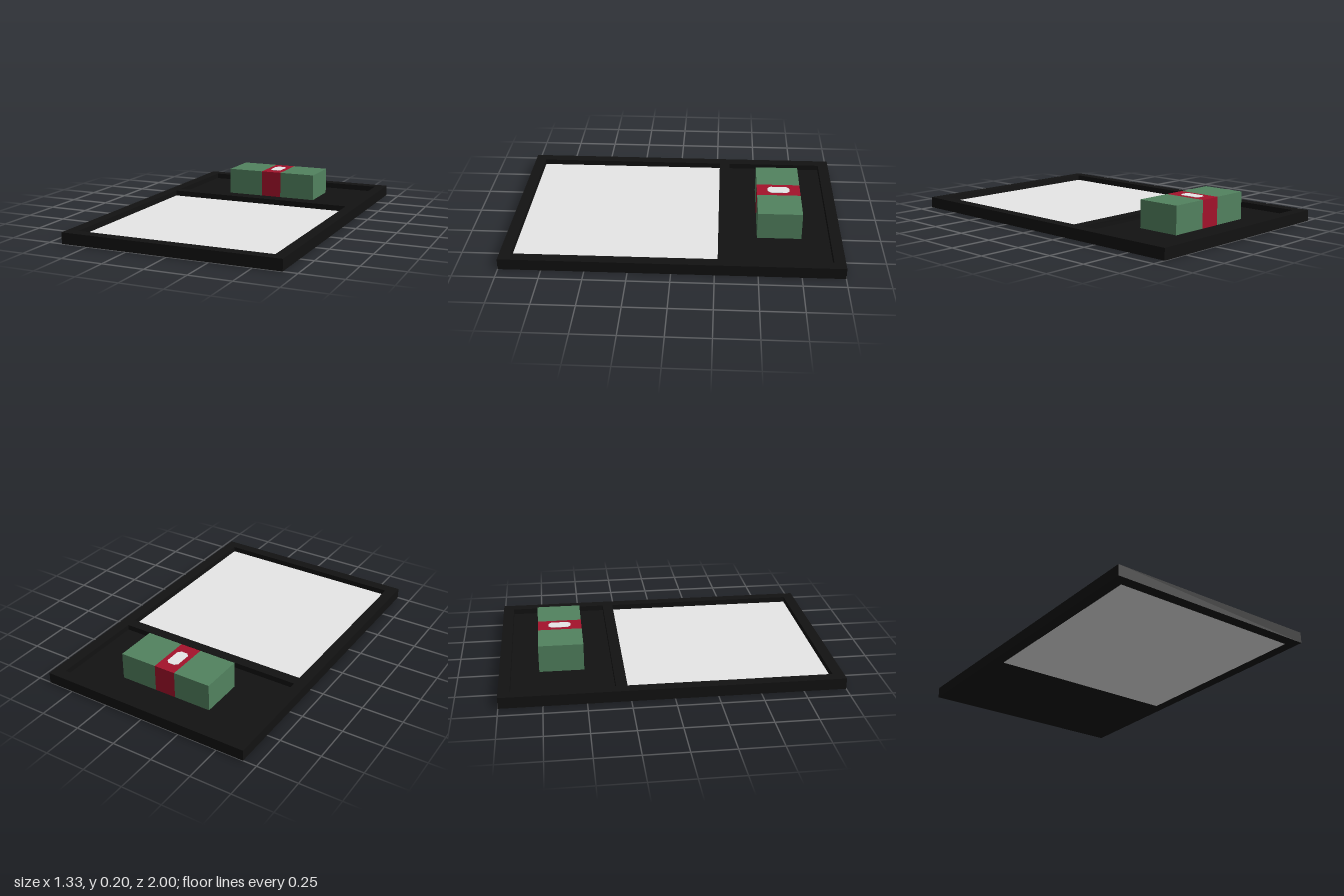
import * as THREE from 'three';

const flat = (name, color) => {
  const m = new THREE.MeshStandardMaterial({ color });
  m.name = name;
  return m;
};

export function createModel() {
  const black = flat('black', 0x121212);
  const white = flat('white', 0xf2f2f2);
  const green = flat('green', 0x52825f);
  const red = flat('red', 0xa4122b);
  const model = new THREE.Group();
  model.name = 'trayWithBundle';

  const add = (name, geometry, material) => {
    const mesh = new THREE.Mesh(geometry, material);
    mesh.name = name;
    model.add(mesh);
    return mesh;
  };
  // Box given by its limits on each axis
  const box = (name, material, [x0, x1], [y0, y1], [z0, z1]) =>
    add(name, new THREE.BoxGeometry(x1 - x0, y1 - y0, z1 - z0), material)
      .position.set((x0 + x1) / 2, (y0 + y1) / 2, (z0 + z1) / 2);
  // Rectangle in the ground plane, drawn with shape y = -z
  const rect = (Kind, x, z0, z1) => new Kind([
    [-x, -z1], [x, -z1], [x, -z0], [-x, -z0],
  ].map(([a, b]) => new THREE.Vector2(a, b)));

  const rim = 0.067, floor = 0.033, inner = 0.6;
  const front = [-0.267, 0.933], back = [-0.933, -0.333];

  // Frame with a front and a back opening and a divider between them
  const outline = rect(THREE.Shape, 0.667, -1, 1);
  outline.holes.push(rect(THREE.Path, inner, ...front), rect(THREE.Path, inner, ...back));
  add('frame', new THREE.ExtrudeGeometry(outline, { depth: rim, bevelEnabled: false })
    .rotateX(-Math.PI / 2), black);

  // Sunken panels
  box('frontPanel', white, [-inner, inner], [0, floor], front);
  box('backFloor', black, [-inner, inner], [0, floor], back);

  // Bundle: two ends with a band around the middle
  const high = [floor, 0.2], deep = [-0.767, -0.5];
  box('bundleRight', green, [-0.3, -0.067], high, deep);
  box('bundleLeft', green, [0.067, 0.3], high, deep);
  box('band', red, [-0.067, 0.067], high, deep);

  // Chamfered label on top of the band
  const w = 0.037, h = 0.067, c = 0.018;
  const label = new THREE.Shape([
    [w, -h + c], [w, h - c], [w - c, h], [c - w, h],
    [-w, h - c], [-w, c - h], [c - w, -h], [w - c, -h],
  ].map(([a, b]) => new THREE.Vector2(a, b)));
  add('label', new THREE.ExtrudeGeometry(label, { depth: 0.002, bevelEnabled: false })
    .rotateX(-Math.PI / 2), white).position.set(0, 0.2, -0.634);

  return model;
}
